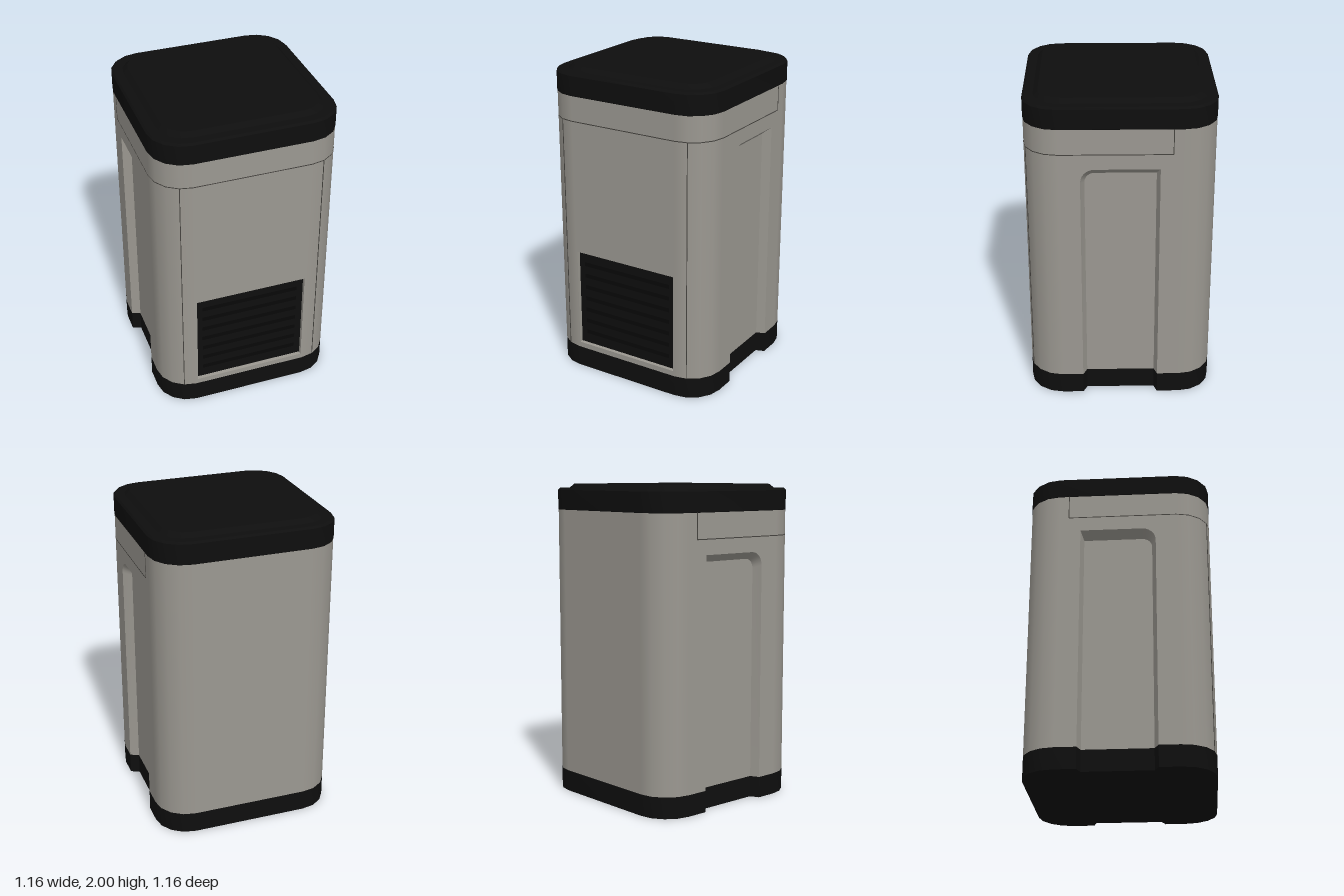
import * as THREE from 'three';
import { mergeVertices, toCreasedNormals } from 'three/addons/utils/BufferGeometryUtils.js';

const W = 0.578, R = 0.208, C = W - R;      // half width, corner radius, corner centre
const Y0 = 0.135, Y1 = 1.84;                // shell bottom and top
const D = 0.055;                            // side recess depth

const mat = (name, color) => {
  const m = new THREE.MeshStandardMaterial({ color, side: THREE.DoubleSide });
  m.name = name;
  return m;
};

const V2 = (x, y) => new THREE.Vector2(x, y);
const V3 = (x, y, z) => new THREE.Vector3(x, y, z);

// points of an arc in the plane
function arc(cx, cy, r, from, to, n = 4) {
  return Array.from({ length: n + 1 }, (_, i) => {
    const t = from + (to - from) * i / n;
    return V2(cx + r * Math.cos(t), cy + r * Math.sin(t));
  });
}

// rounded square outline, with optional notches in the two x sides
function outline(half, r, notch = []) {
  const c = half - r, q = Math.PI / 2;
  return [
    ...notch,
    ...arc(c, c, r, 0, q), ...arc(-c, c, r, q, 2 * q),
    ...notch.map(p => V2(-p.x, p.y)).reverse(),
    ...arc(-c, -c, r, 2 * q, 3 * q), ...arc(c, -c, r, 3 * q, 4 * q),
  ];
}

// ribbon of quads between two paths of equal length
function strip(a, b) {
  const pos = [];
  for (let i = 0; i < a.length - 1; i++)
    for (const p of [a[i], a[i + 1], b[i], a[i + 1], b[i + 1], b[i]]) pos.push(p.x, p.y, p.z);
  const g = new THREE.BufferGeometry();
  g.setAttribute('position', new THREE.Float32BufferAttribute(pos, 3));
  g.computeVertexNormals();
  return toCreasedNormals(g, 0.6);
}

// horizontal slab from an outline, optionally bevelled inward
function slab(points, y, height, bevel = 0, size = bevel) {
  const g = new THREE.ExtrudeGeometry(new THREE.Shape(points), {
    depth: height - 2 * bevel, bevelEnabled: bevel > 0,
    bevelThickness: bevel, bevelSize: size, bevelOffset: -size, bevelSegments: 1,
  });
  g.rotateX(-Math.PI / 2).translate(0, y + bevel, 0);
  return toCreasedNormals(g, 0.5);
}

function mirrored(g) {
  const m = mergeVertices(g.clone().scale(-1, 1, 1));
  m.index.array.reverse();
  return m;
}

export function createModel() {
  const group = new THREE.Group();
  const grey = mat('warm grey shell', 0x9b9891);
  const black = mat('black plastic', 0x0e0e0e);
  const slot = mat('vent slot black', 0x070707);
  const seam = mat('seam grey', 0x45433f);

  const add = (name, geometry, material) => {
    const m = new THREE.Mesh(geometry, material);
    m.name = name;
    group.add(m);
    return m;
  };
  const addPair = (name, geometry, material) => {
    add(name + 'Left', geometry, material);
    add(name + 'Right', mirrored(geometry), material);
  };

  // base with notches that continue the side recesses
  const notch = [V2(W, -0.24), V2(W - D, -0.215), V2(W - D, 0.215), V2(W, 0.235)];
  add('base', slab(outline(W, R, notch), 0, Y0), black);

  // lid rim and raised top
  add('lidRim', slab(outline(0.58, 0.21), Y1 - 0.012, 0.147, 0.012), black);
  add('lidTop', slab(outline(0.515, 0.17), 1.92, 0.08, 0.025, 0.03), black);

  // rounded shell corners
  const h = Y1 - Y0, ym = (Y0 + Y1) / 2;
  for (let i = 0; i < 4; i++) {
    const g = new THREE.CylinderGeometry(R, R, h, 4, 1, true, i * Math.PI / 2, Math.PI / 2);
    const sx = i < 2 ? 1 : -1, sz = i === 0 || i === 3 ? 1 : -1;
    add('shellCorner' + (i + 1), g.translate(sx * C, ym, sz * C), grey);
  }

  // back wall
  add('backWall', new THREE.PlaneGeometry(2 * C, h).rotateY(Math.PI).translate(0, ym, -W), grey);

  // front wall with vent opening
  const ventLoop = [V2(-0.36, 0.17), V2(0.36, 0.17), V2(0.36, 0.815), V2(-0.36, 0.815)];
  const front = new THREE.Shape([V2(-C, Y0), V2(C, Y0), V2(C, Y1), V2(-C, Y1)]);
  front.holes.push(new THREE.Path(ventLoop));
  add('frontWall', new THREE.ShapeGeometry(front).translate(0, 0, W), grey);

  // recessed vent with seven slots
  const closed = [...ventLoop, ventLoop[0]], ventZ = W - 0.025;
  add('ventFrame', strip(closed.map(p => V3(p.x, p.y, W)), closed.map(p => V3(p.x, p.y, ventZ))), grey);
  add('ventPanel', new THREE.PlaneGeometry(0.72, 0.645).translate(0, 0.4925, ventZ), black);
  for (let i = 0; i < 7; i++)
    add('ventSlot' + (i + 1),
      new THREE.BoxGeometry(0.635, 0.026, 0.004).translate(0, 0.73 - 0.08 * i, ventZ + 0.001), slot);

  // side recess: square at the top back, rounded at the top front
  const recess = (back, frontEdge, top, r) => [
    V2(back, Y0), V2(back, top),
    ...arc(-frontEdge + r, top - r, r, Math.PI / 2, Math.PI, 6), V2(-frontEdge, Y0),
  ];
  const rim = recess(0.235, 0.24, 1.585, 0.085);
  const floor = recess(0.215, 0.215, 1.54, 0.06);
  const onSide = (pts, x) => pts.map(p => V3(x, p.y, -p.x));
  const sidePlate = (pts, x) =>
    new THREE.ShapeGeometry(new THREE.Shape(pts)).rotateY(Math.PI / 2).translate(x, 0, 0);

  addPair('sideWall', sidePlate(
    [V2(-C, Y0), ...[...rim].reverse(), V2(C, Y0), V2(C, Y1), V2(-C, Y1)], W), grey);
  addPair('sideRecessEdge', strip(onSide(rim, W), onSide(floor, W - D)), grey);
  addPair('sideRecessFloor', sidePlate(floor, W - D), grey);

  // seam round the front and sides, below the lid
  const S = W + 0.0015, rs = R + 0.0015, q = Math.PI / 2;
  const path = [V2(S, -0.31), ...arc(C, C, rs, 0, q), ...arc(-C, C, rs, q, 2 * q), V2(-S, -0.31)];
  const level = y => path.map(p => V3(p.x, y, p.y));
  add('upperSeam', strip(level(1.683), level(1.677)), seam);

  // short upright seams at the sides, long ones beside the front panel
  addPair('sideSeam', new THREE.BoxGeometry(0.003, 0.16, 0.005).translate(W, 1.76, -0.31), seam);
  addPair('frontSeam', new THREE.BoxGeometry(0.005, 1.545, 0.004)
    .rotateY(Math.PI / 8).translate(C + R * Math.sin(Math.PI / 8), 0.9075, C + R * Math.cos(Math.PI / 8)), seam);

  return group;
}
